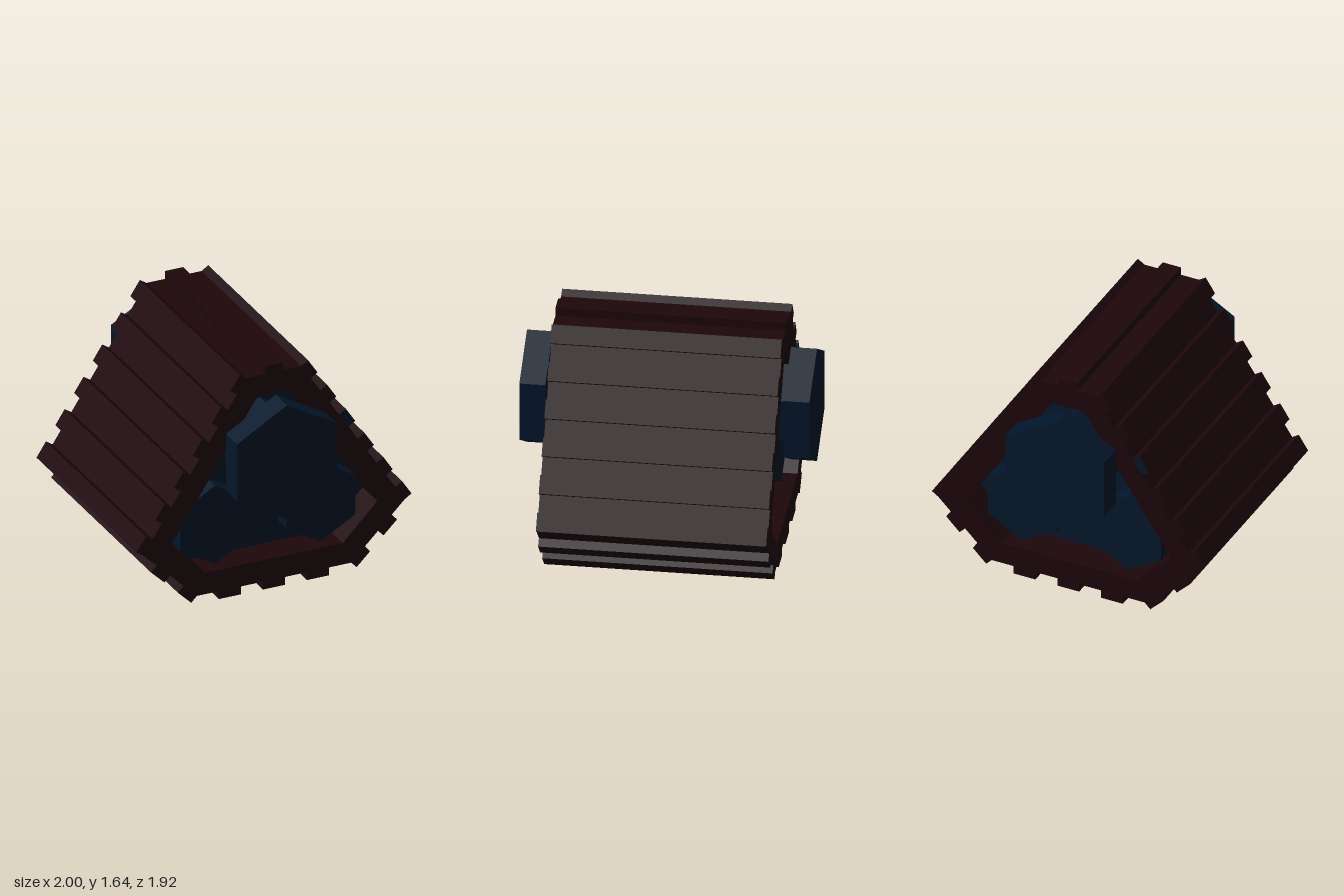
import * as THREE from 'three';

const brown = new THREE.MeshStandardMaterial({ color: 0x1d060b, flatShading: true });
const navy = new THREE.MeshStandardMaterial({ color: 0x02162a, flatShading: true });

const TRACK_Z = 0.762, PLATE_Z = 0.54, TOOTH = 0.058;

// Clockwise outer edges: start, end, number of intervals, parity of the intervals that carry a tooth
const edges = [
  [[-0.2, 1.582], [0.2, 1.582], 3, 1],
  [[0.2, 1.582], [0.95, 0.44], 11, 0],
  [[0.95, 0.44], [0.56, 0.058], 4, 1],
  [[0.56, 0.058], [-0.56, 0.058], 7, 1],
  [[-0.56, 0.058], [-0.95, 0.44], 4, 0],
  [[-0.95, 0.44], [-0.2, 1.582], 11, 0],
];
const inner = [[-0.12, 1.43], [0.12, 1.43], [0.75, 0.47], [0.5, 0.215], [-0.5, 0.215], [-0.75, 0.47]]
  .map(([x, y]) => new THREE.Vector2(x, y));

// Four corners of one interval of an edge, raised outward by the tooth height
function toothCorners([p, q, n], i) {
  const a = new THREE.Vector2(...p), b = new THREE.Vector2(...q);
  const dir = b.clone().sub(a).normalize();
  const out = new THREE.Vector2(-dir.y, dir.x).multiplyScalar(TOOTH);
  const s = a.clone().lerp(b, i / n), e = a.clone().lerp(b, (i + 1) / n);
  return [s, s.clone().add(out), e.clone().add(out), e];
}

function trackOutline() {
  const pts = [];
  for (const edge of edges) {
    for (let i = 0; i < edge[2]; i++) {
      const c = toothCorners(edge, i);
      if (i % 2 === edge[3]) pts.push(...c);
      else if (i === 0) pts.push(c[0]);
    }
  }
  // Drop points shared by neighbouring edges
  return pts.filter((p, i) => p.distanceTo(pts[(i + 1) % pts.length]) > 1e-4);
}

function slab(name, shape, z0, z1, material) {
  const geo = new THREE.ExtrudeGeometry(shape, { depth: z1 - z0, bevelEnabled: false });
  geo.translate(0, 0, z0);
  const mesh = new THREE.Mesh(geo, material);
  mesh.name = name;
  return mesh;
}

function hexPrism(name, radius, x, y, z0, z1) {
  const geo = new THREE.CylinderGeometry(radius, radius, z1 - z0, 6).rotateX(Math.PI / 2);
  const mesh = new THREE.Mesh(geo, navy);
  mesh.position.set(x, y, (z0 + z1) / 2);
  mesh.name = name;
  return mesh;
}

export function createModel() {
  const model = new THREE.Group();
  model.name = 'trackUnit';

  // Toothed track belt; the hole runs opposite to the outline so its walls face inward
  const belt = new THREE.Shape(trackOutline());
  belt.holes.push(new THREE.Path([...inner].reverse()));
  model.add(slab('trackBelt', belt, -TRACK_Z, TRACK_Z, brown));

  // Recessed core filling the belt
  model.add(slab('corePlate', new THREE.Shape(inner), -PLATE_Z, PLATE_Z, navy));

  // Axle and lower wheels run through the core
  model.add(hexPrism('axle', 0.288, 0, 1.01, -0.8, 0.8));
  for (const side of [1, -1]) {
    model.add(hexPrism(side > 0 ? 'leftWheel' : 'rightWheel', 0.288, side * 0.385, 0.5, -0.67, 0.67));
  }

  // Matching ends: large hub and one coloured tooth tip, turned half round for the back
  const tip = new THREE.Shape(toothCorners(edges[1], 4));
  for (const [name, turn] of [['front', 0], ['back', Math.PI]]) {
    const end = new THREE.Group();
    end.name = name + 'End';
    end.rotation.y = turn;
    end.add(hexPrism(name + 'Hub', 0.418, 0, 1.01, 0.788, 0.96));
    end.add(slab(name + 'ToothTip', tip, TRACK_Z - 0.001, TRACK_Z + 0.001, navy));
    model.add(end);
  }
  return model;
}
